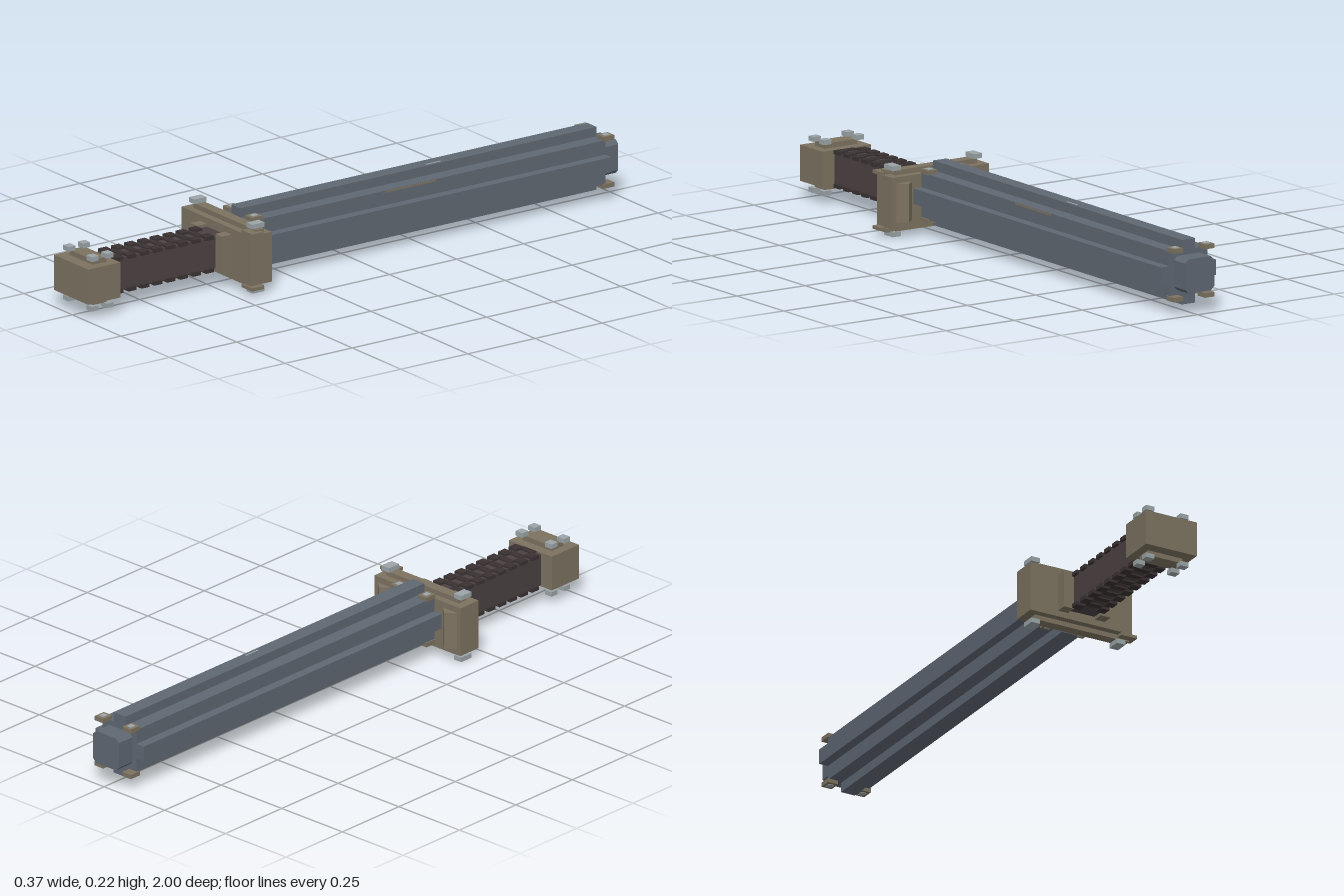
import * as THREE from 'three';

const CX = -0.008, GY = 0.111, BY = 0.124; // long axis x, hilt height, blade height

function makeMat(name, color) {
  const m = new THREE.MeshStandardMaterial({ color });
  m.name = name;
  return m;
}

export function createModel() {
  const steel = makeMat('blueSteel', 0x5f6772);
  const bronze = makeMat('agedBronze', 0x7c7260);
  const silver = makeMat('paleMetal', 0x9ba4a7);
  const leather = makeMat('gripLeather', 0x4b4142);
  const wrap = makeMat('darkWrap', 0x3a3232);

  const model = new THREE.Group();
  model.name = 'sword';
  const group = (name) => {
    const g = new THREE.Group();
    g.name = name;
    model.add(g);
    return g;
  };
  // Box given by its minimum and maximum on each axis
  const box = (parent, name, mat, x0, x1, y0, y1, z0, z1) => {
    const mesh = new THREE.Mesh(new THREE.BoxGeometry(x1 - x0, y1 - y0, z1 - z0), mat);
    mesh.position.set((x0 + x1) / 2, (y0 + y1) / 2, (z0 + z1) / 2);
    mesh.name = name;
    parent.add(mesh);
    return mesh;
  };
  // Box given by centre and size
  const block = (parent, name, mat, x, y, z, w, h, d) =>
    box(parent, name, mat, x - w / 2, x + w / 2, y - h / 2, y + h / 2, z - d / 2, z + d / 2);
  // Polygon extruded along z from z0 to z1
  const prism = (parent, name, mat, pts, x, y, z0, z1) => {
    const shape = new THREE.Shape(pts.map(([a, b]) => new THREE.Vector2(a, b)));
    const mesh = new THREE.Mesh(
      new THREE.ExtrudeGeometry(shape, { depth: z1 - z0, bevelEnabled: false }), mat);
    mesh.position.set(x, y, z0);
    mesh.name = name;
    parent.add(mesh);
    return mesh;
  };

  // Blade: square core with one long ridge on each side
  const blade = group('blade');
  const section = [];
  const quarter = [[0.1, -0.024], [0.1, 0.024], [0.07, 0.024], [0.07, 0.07], [0.024, 0.07]];
  for (let i = 0; i < 4; i++) {
    const c = [1, 0, -1, 0][i], s = [0, 1, 0, -1][i];
    for (const [a, b] of quarter) section.push([a * c - b * s, a * s + b * c]);
  }
  prism(blade, 'ridgedBlade', steel, section, CX, BY, -0.94, 0.385);

  // Blunt tip with cut corners
  const h = 0.053, k = 0.041;
  prism(blade, 'bladeTip', steel,
    [[h, -k], [h, k], [k, h], [-k, h], [-h, k], [-h, -k], [-k, -h], [k, -h]], CX, BY, -1, -0.935);

  // Small clamps at both ends of the blade
  for (const z of [-0.95, 0.36])
    for (const sx of [-1, 1])
      for (const sy of [-1, 1]) {
        block(blade, 'bladeClamp', bronze, CX + sx * 0.057, BY + sy * 0.075, z, 0.035, 0.014, 0.04);
        block(blade, 'clampPin', silver, CX + sx * 0.057, BY + sy * 0.0825, z, 0.018, 0.003, 0.02);
      }

  // Scratches on the blade
  block(blade, 'scratch', silver, 0.005, BY + 0.1, -0.34, 0.005, 0.002, 0.055);
  block(blade, 'scratch', bronze, CX + 0.07, 0.19, -0.215, 0.002, 0.006, 0.19);

  // Guard with a raised rim, corner studs and wedges towards the blade
  const guard = group('guard');
  block(guard, 'guardBody', bronze, CX, GY, 0.42, 0.355, 0.158, 0.08);
  block(guard, 'guardRim', bronze, CX, GY, 0.42, 0.297, 0.189, 0.034);
  for (const sy of [-1, 1]) {
    for (const sx of [-1, 1])
      block(guard, 'guardStud', silver, CX + sx * 0.149, GY + sy * 0.102, 0.42, 0.03, 0.015, 0.045);
    block(guard, 'guardStudBase', bronze, 0.15, GY + sy * 0.09, 0.425, 0.04, 0.012, 0.03);
    block(guard, 'guardCornerPlate', bronze, 0.157, GY + sy * 0.086, 0.443, 0.055, 0.01, 0.042);
  }
  for (const sx of [-1, 1]) {
    const wedge = prism(guard, 'guardWedge', bronze,
      [[-0.03, 0], [0.03, 0], [0, 0.027]], CX + sx * 0.134, 0, 0, 0.12);
    wedge.rotation.x = -Math.PI / 2;
    wedge.position.set(CX + sx * 0.134, GY - 0.06, 0.381);
    block(guard, 'gripCollar', bronze, CX + sx * 0.064, GY, 0.477, 0.034, 0.12, 0.038);
  }

  // Grip with staggered wrap strips along its edges
  const grip = group('grip');
  block(grip, 'gripCore', leather, CX, GY, 0.67, 0.09, 0.102, 0.44);
  for (let i = 0; i < 8; i++) {
    const z = 0.515 + i * 0.048;
    for (const sy of [-1, 1]) {
      for (const sx of [-1, 1])
        block(grip, 'wrapStrip', wrap, CX + sx * 0.038, GY + sy * 0.052, z + sx * 0.006,
          0.031, 0.012, 0.03);
      block(grip, 'wrapCross', wrap, CX, GY + sy * 0.051, z + 0.02, 0.05, 0.009, 0.022);
    }
  }

  // Pommel block with stepped plates and studs above and below
  const pommel = group('pommel');
  block(pommel, 'pommelBody', bronze, CX, GY, 0.94, 0.177, 0.112, 0.12);
  for (const sy of [-1, 1]) {
    block(pommel, 'pommelPlate', bronze, CX, GY + sy * 0.063, 0.936, 0.12, 0.018, 0.052);
    for (const sx of [-1, 1])
      for (const z of [0.908, 0.963])
        block(pommel, 'pommelStud', silver, CX + sx * 0.06, GY + sy * 0.079, z, 0.028, 0.015, 0.026);
  }

  return model;
}
